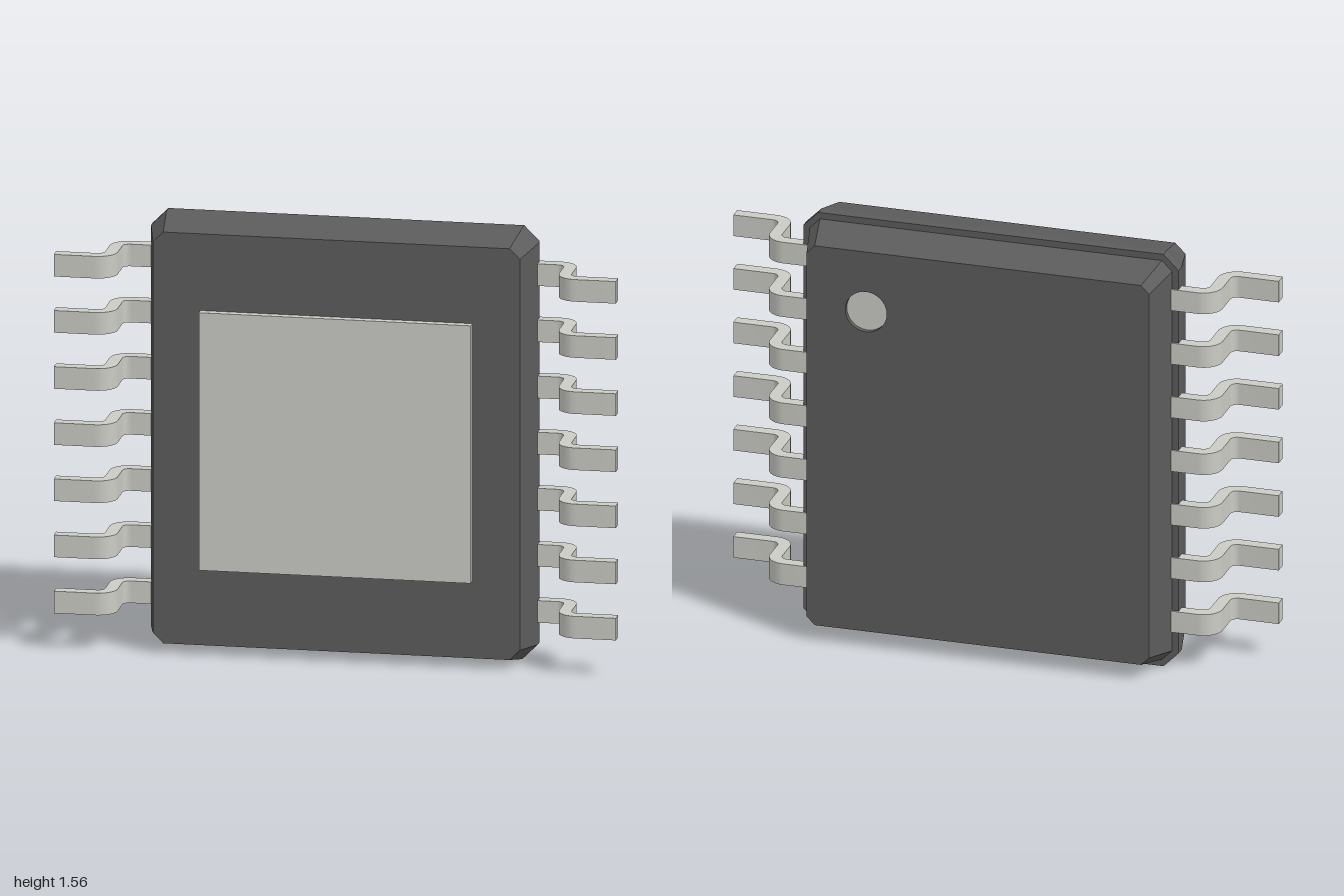
import * as THREE from 'three';
import { mergeGeometries, toCreasedNormals } from 'three/addons/utils/BufferGeometryUtils.js';

const resin = new THREE.MeshStandardMaterial({ color: 0x5c5c5c });
const metal = new THREE.MeshStandardMaterial({ color: 0xcbcbc5 });

// Corners of a rectangle with cut corners, counter-clockwise seen from +z
function outline({ w, y0, y1, c }) {
  return [
    [w, y0 + c], [w, y1 - c], [w - c, y1], [c - w, y1],
    [-w, y1 - c], [-w, y0 + c], [c - w, y0], [w - c, y0],
  ].map(([x, y]) => new THREE.Vector2(x, y));
}

function bare(geometry) {
  const g = geometry.index ? geometry.toNonIndexed() : geometry;
  g.deleteAttribute('uv');
  g.deleteAttribute('normal');
  return g;
}

// Faceted solid through sections ordered from back to front, with an optional hole in the back
function loft(sections, hole) {
  const p = [];
  for (let s = 0; s + 1 < sections.length; s++) {
    const a = outline(sections[s]), b = outline(sections[s + 1]);
    const za = sections[s].z, zb = sections[s + 1].z;
    for (let i = 0; i < 8; i++) {
      const j = (i + 1) % 8;
      p.push(a[i].x, a[i].y, za, a[j].x, a[j].y, za, b[j].x, b[j].y, zb);
      p.push(a[i].x, a[i].y, za, b[j].x, b[j].y, zb, b[i].x, b[i].y, zb);
    }
  }
  const sides = new THREE.BufferGeometry();
  sides.setAttribute('position', new THREE.Float32BufferAttribute(p, 3));

  const first = sections[0], last = sections[sections.length - 1];
  const front = new THREE.ShapeGeometry(new THREE.Shape(outline(last))).translate(0, 0, last.z);
  const backShape = new THREE.Shape(outline(first));
  if (hole) {
    // x is negated because the cap is turned round to face backwards
    backShape.holes.push(new THREE.Path().absarc(-hole.x, hole.y, hole.r, 0, Math.PI * 2, true));
  }
  const back = new THREE.ShapeGeometry(backShape, 16).rotateY(Math.PI).translate(0, 0, first.z);
  const g = mergeGeometries([sides, bare(front), bare(back)]);
  g.computeVertexNormals();
  return g;
}

// Gull-wing lead for the +x side, centred on y = 0
function leadGeometry() {
  const h = Math.PI / 2, outer = 0.07, inner = 0.025, height = 0.08;
  const s = new THREE.Shape();
  s.moveTo(0.6, -0.043);
  s.lineTo(0.76, -0.043);
  s.absarc(0.76, 0.027, outer, -h, 0, false);
  s.absarc(0.855, 0.115, inner, Math.PI, h, true);
  s.lineTo(1, 0.14);
  s.lineTo(1, 0.185);
  s.absarc(0.855, 0.115, outer, h, Math.PI, false);
  s.absarc(0.76, 0.027, inner, 0, -h, true);
  s.lineTo(0.6, 0.002);
  const g = new THREE.ExtrudeGeometry(s, { depth: height, bevelEnabled: false, curveSegments: 8 });
  g.translate(0, 0, -height / 2).rotateX(h);
  return toCreasedNormals(g, 0.6);
}

export function createModel() {
  const model = new THREE.Group();
  model.name = 'chipPackage';
  const add = (name, geometry, material, parent = model) => {
    const mesh = new THREE.Mesh(geometry, material);
    mesh.name = name;
    parent.add(mesh);
    return mesh;
  };

  // Moulded body: two tapered halves meeting at a small step
  const seam = -0.037, backZ = -0.19;
  const dot = { x: 0.41, y: 1.275, r: 0.076, depth: 0.018 };
  add('bodyFront', loft([
    { z: seam, w: 0.688, y0: 0, y1: 1.563, c: 0.055 },
    { z: 0, w: 0.688, y0: 0, y1: 1.563, c: 0.055 },
    { z: 0.155, w: 0.653, y0: 0.037, y1: 1.528, c: 0.037 },
  ]), resin);
  add('bodyBack', loft([
    { z: backZ, w: 0.628, y0: 0.062, y1: 1.502, c: 0.03 },
    { z: seam, w: 0.664, y0: 0.025, y1: 1.539, c: 0.037 },
  ], dot), resin);

  // Shallow round marker recess in the back
  const wall = new THREE.CylinderGeometry(dot.r, dot.r, dot.depth, 32, 1, true).rotateX(Math.PI / 2);
  const wallMaterial = resin.clone();
  wallMaterial.side = THREE.DoubleSide;
  add('markerWall', wall, wallMaterial).position.set(dot.x, dot.y, backZ + dot.depth / 2);
  const floor = new THREE.CircleGeometry(dot.r, 32).rotateY(Math.PI);
  add('markerFloor', floor, metal).position.set(dot.x, dot.y, backZ + dot.depth);

  // Exposed thermal pad on the front
  add('thermalPad', new THREE.BoxGeometry(0.968, 0.934, 0.06), metal).position.set(0, 0.783, 0.155);

  // Seven leads down each side
  const lead = leadGeometry();
  for (const side of ['left', 'right']) {
    const row = new THREE.Group();
    row.name = side + 'Leads';
    model.add(row);
    for (let i = 0; i < 7; i++) {
      const mesh = add(side + 'Lead' + (i + 1), lead, metal, row);
      mesh.position.y = 0.175 + i * 0.2035;
      if (side === 'right') mesh.rotation.z = Math.PI;
    }
  }
  return model;
}
